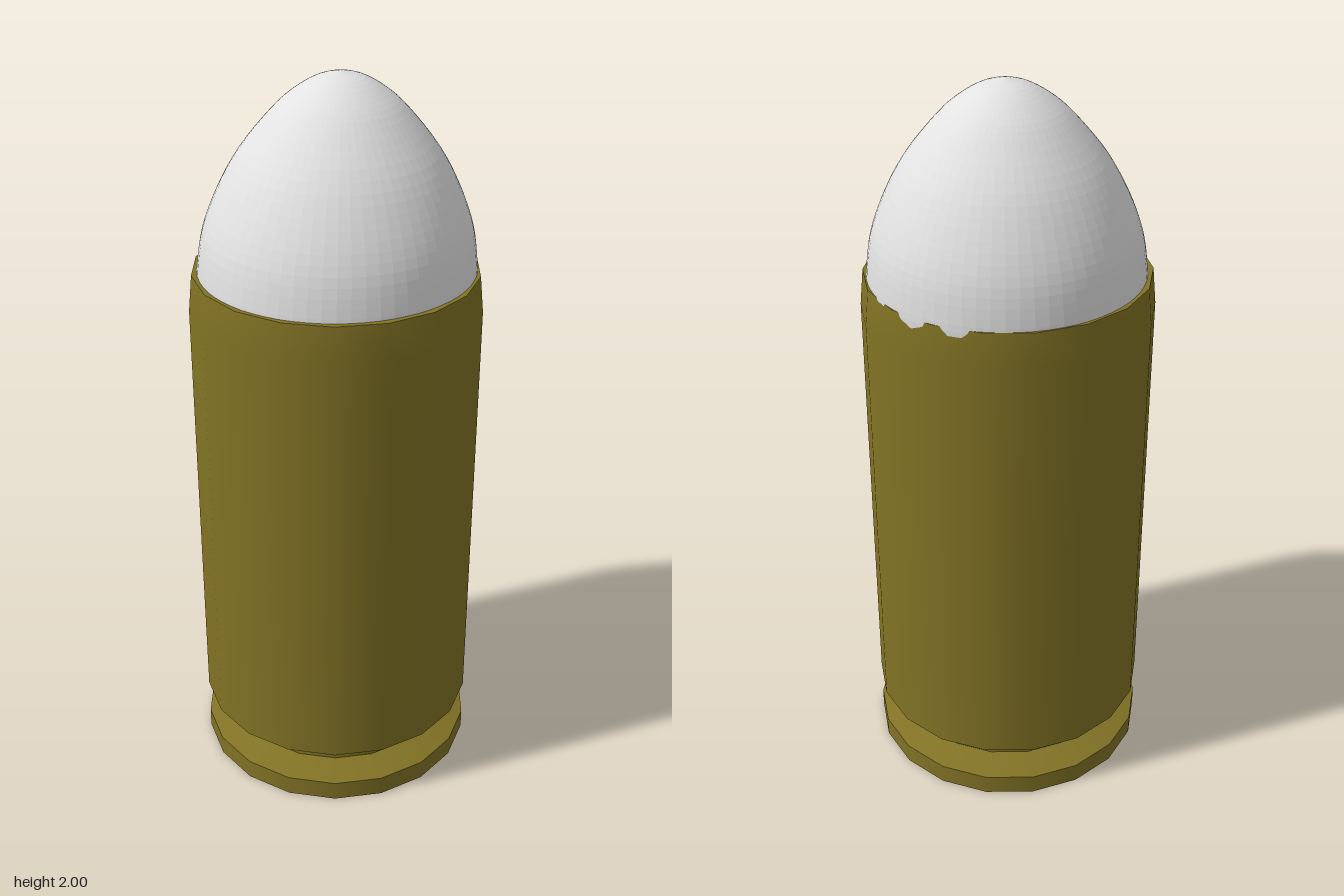
import * as THREE from 'three';

const brass = new THREE.MeshStandardMaterial({ color: 0x827325 });
brass.name = 'brass';
const paleMetal = new THREE.MeshStandardMaterial({ color: 0xe2e2e2, flatShading: true });
paleMetal.name = 'pale metal';

const CASE_SIDES = 18;

// Turned section: [radius, height] pairs, smooth around and sharp at both ends
function turned(name, profile) {
  const points = profile.map(([r, y]) => new THREE.Vector2(r, y));
  const mesh = new THREE.Mesh(new THREE.LatheGeometry(points, CASE_SIDES), brass);
  mesh.name = name;
  return mesh;
}

// Ogive tip, many-sided, leaning slightly towards +x
function createTip() {
  const profile = [
    [0.371, 1.44], [0.37, 1.5], [0.354, 1.6], [0.316, 1.7], [0.26, 1.8],
    [0.178, 1.9], [0.122, 1.95], [0.062, 1.985], [0, 2],
  ].map(([r, y]) => new THREE.Vector2(r, y));
  const curve = new THREE.SplineCurve(profile);
  const points = curve.getPoints(32);
  points.forEach((p) => { p.x = Math.max(p.x, 0); p.y = Math.min(p.y, 2); });
  const geometry = new THREE.LatheGeometry(points, 64);
  const pos = geometry.attributes.position;
  for (let i = 0; i < pos.count; i++) {
    const t = (pos.getY(i) - 1.44) / 0.56;
    pos.setX(i, pos.getX(i) + 0.005 + 0.016 * t);
    pos.setZ(i, pos.getZ(i) * 0.98 - 0.002 - 0.005 * t);
  }
  geometry.computeVertexNormals();
  const tip = new THREE.Mesh(geometry, paleMetal);
  tip.name = 'tip';
  return tip;
}

export function createModel() {
  const model = new THREE.Group();
  model.name = 'cartridge';

  const casing = new THREE.Group();
  casing.name = 'casing';
  casing.add(
    turned('baseDisc', [[0, 0], [0.39, 0]]),
    turned('rim', [[0.39, 0], [0.39, 0.057]]),
    turned('rimSlope', [[0.39, 0.057], [0.308, 0.08]]),
    turned('groove', [[0.308, 0.08], [0.308, 0.108]]),
    turned('grooveFlare', [[0.308, 0.108], [0.39, 0.163]]),
    turned('body', [[0.39, 0.163], [0.39, 1.39], [0.38, 1.49]]),
    turned('mouth', [[0.38, 1.49], [0.34, 1.488]]),
  );

  model.add(casing, createTip());
  return model;
}
